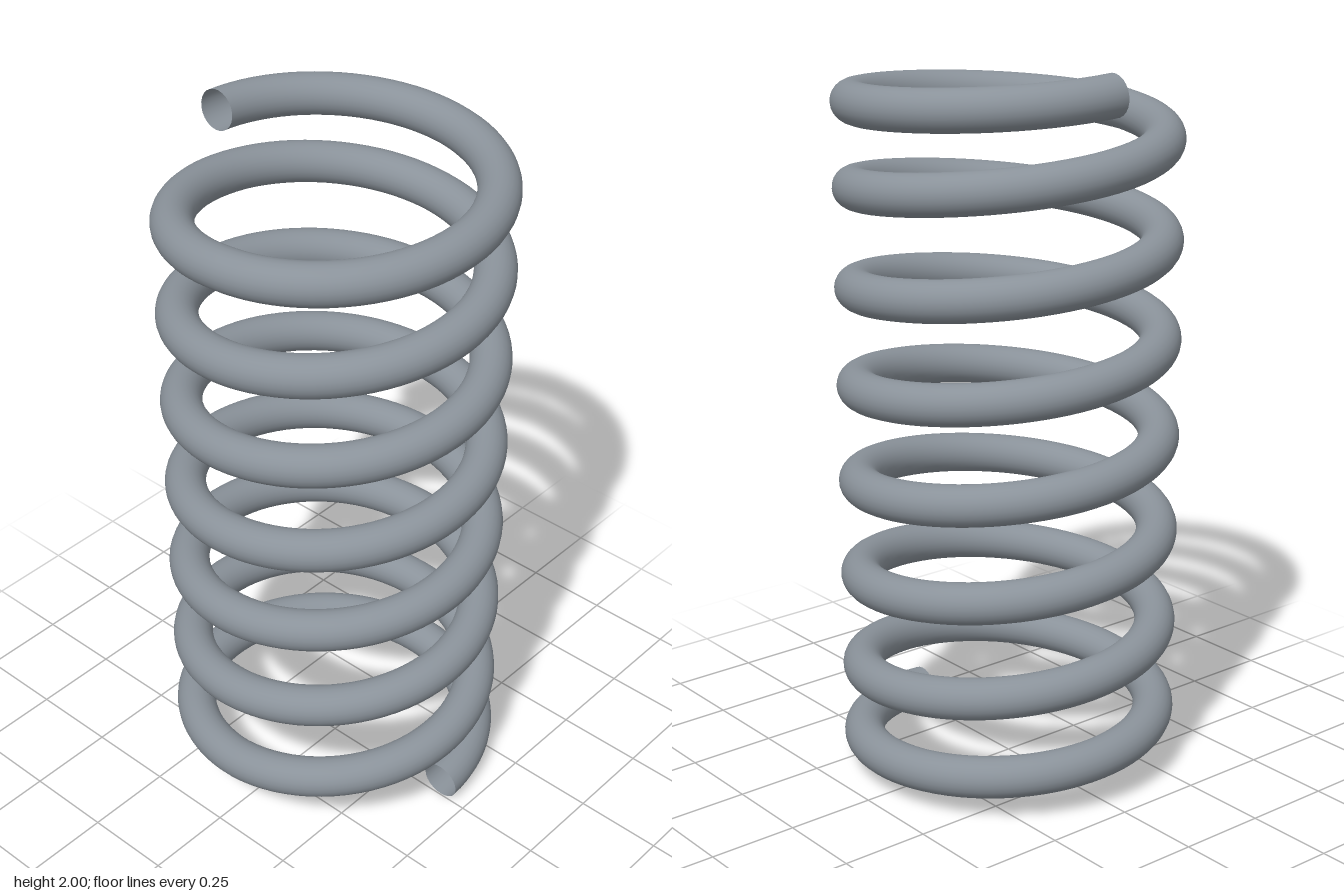
import * as THREE from 'three';

const TURNS = 7.5;
const COIL_RADIUS = 0.414;
const WIRE_RADIUS = 0.0568;

// Helix rising from the left end round the back, with tighter pitch near both ends
class CoilCurve extends THREE.Curve {
  getPoint(t, target = new THREE.Vector3()) {
    const angle = t * TURNS * Math.PI * 2;
    return target.set(COIL_RADIUS * Math.cos(angle), this.height(t), -COIL_RADIUS * Math.sin(angle));
  }

  height(t) {
    const low = WIRE_RADIUS, kink = 0.1795;
    if (t < 0.1) return THREE.MathUtils.lerp(low, kink, t / 0.1);
    if (t > 0.9) return 2 - this.height(1 - t);
    return THREE.MathUtils.lerp(kink, 2 - kink, (t - 0.1) / 0.8);
  }
}

export function createModel() {
  const group = new THREE.Group();
  group.name = 'coilSpring';

  const steel = new THREE.MeshStandardMaterial({ color: 0x8a929a, side: THREE.DoubleSide });
  steel.name = 'steelGrey';

  // Wire, open at both ends
  const path = new CoilCurve();
  path.arcLengthDivisions = 1500;
  const wire = new THREE.Mesh(new THREE.TubeGeometry(path, 600, WIRE_RADIUS, 24, false), steel);
  wire.name = 'springWire';
  group.add(wire);

  return group;
}
